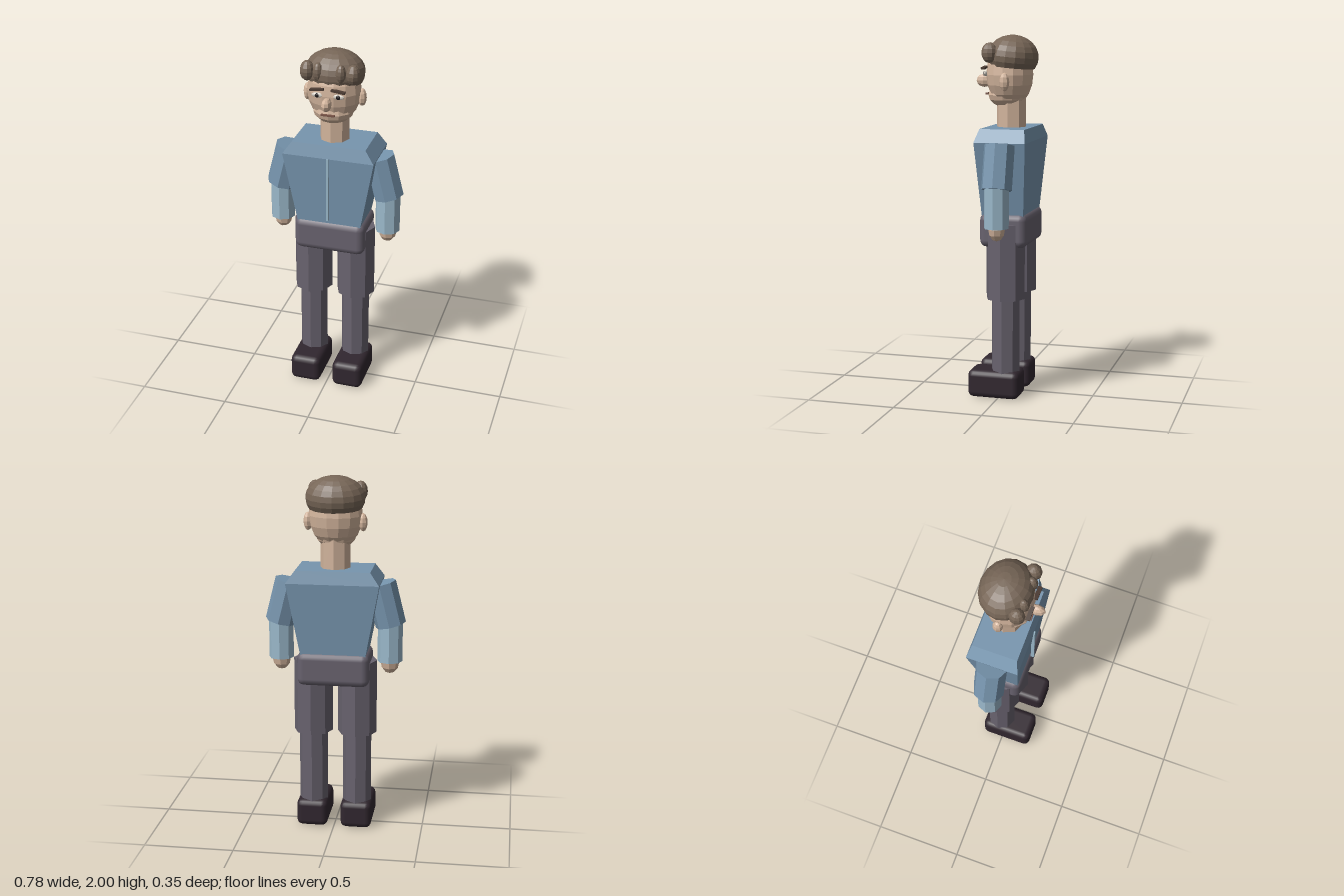
import * as THREE from 'three';
import { RoundedBoxGeometry } from 'three/addons/geometries/RoundedBoxGeometry.js';
import { ConvexGeometry } from 'three/addons/geometries/ConvexGeometry.js';

function material(name, color, flatShading = true) {
  const m = new THREE.MeshStandardMaterial({ color, flatShading });
  m.name = name;
  return m;
}

export function createModel() {
  const model = new THREE.Group();
  model.name = 'standingMan';

  const skin = material('skin', 0xd2b49c);
  const hair = material('hair', 0x776657);
  const shirt = material('shirt', 0x7795ae);
  const cuff = material('light shirt', 0x9ab8ca);
  const trousers = material('trousers', 0x68626e, false);
  const shoe = material('shoe', 0x31272f, false);
  const eyeWhite = material('eye white', 0xd8d2c8);
  const dark = material('pupil', 0x1e1a1c);
  const brow = material('brow', 0x4d3d34);
  const lip = material('lip', 0x7a5548);

  function add(name, geometry, mat, x, y, z) {
    const mesh = new THREE.Mesh(geometry, mat);
    mesh.name = name;
    mesh.position.set(x, y, z);
    model.add(mesh);
    return mesh;
  }
  // Faceted ellipsoid with separate radii
  function ellipsoid(name, mat, [x, y, z], [rx, ry, rz], w = 10, h = 8) {
    return add(name, new THREE.SphereGeometry(1, w, h).scale(rx, ry, rz), mat, x, y, z);
  }
  // Eight-sided limb standing between two heights
  function limb(name, mat, x, z, r, y0, y1) {
    const g = new THREE.CylinderGeometry(r, r, y1 - y0, 8).toNonIndexed();
    g.computeVertexNormals();
    return add(name, g, mat, x, (y0 + y1) / 2, z);
  }

  // Torso: rectangles [y, half width, back z, front z] joined into one hull
  const sections = [[1.0, 0.175, -0.14, 0.09], [1.43, 0.255, -0.17, 0.115], [1.5, 0.205, -0.153, 0.096]];
  const corners = sections.flatMap(([y, w, b, f]) =>
    [-w, w].flatMap((x) => [new THREE.Vector3(x, y, b), new THREE.Vector3(x, y, f)]));
  add('torso', new ConvexGeometry(corners), shirt, 0, 0, 0);
  add('shirtPlacket', new THREE.BoxGeometry(0.012, 0.37, 0.018), cuff, 0, 1.245, 0.113);
  add('hips', new RoundedBoxGeometry(0.4, 0.19, 0.265, 2, 0.04), trousers, 0, 0.945, -0.027);

  // Head
  limb('neck', skin, 0, -0.027, 0.082, 1.48, 1.68);
  ellipsoid('head', skin, [0, 1.785, -0.017], [0.148, 0.182, 0.128], 14, 10);
  ellipsoid('jaw', skin, [0, 1.675, -0.005], [0.112, 0.072, 0.108], 12, 8);
  ellipsoid('nose', skin, [0, 1.75, 0.128], [0.027, 0.036, 0.045], 8, 6);
  add('mouth', new THREE.BoxGeometry(0.075, 0.009, 0.012), lip, 0, 1.68, 0.104);

  // Hair cap, open below and tipped slightly back
  const capGeometry = new THREE.SphereGeometry(1, 16, 8, 0, Math.PI * 2, 0, Math.PI * 0.65)
    .scale(0.163, 0.12, 0.14);
  const capMaterial = hair;
  capMaterial.side = THREE.DoubleSide;
  add('hairCap', capGeometry, capMaterial, 0, 1.88, -0.035).rotation.x = -0.1;

  for (const s of [1, -1]) {
    const side = s > 0 ? 'left' : 'right';

    // Face details and curls
    ellipsoid(side + 'Ear', skin, [s * 0.15, 1.75, -0.028], [0.025, 0.05, 0.028], 8, 6);
    ellipsoid(side + 'Eye', eyeWhite, [s * 0.058, 1.79, 0.103], [0.032, 0.014, 0.01], 10, 6);
    ellipsoid(side + 'Pupil', dark, [s * 0.058, 1.79, 0.11], [0.012, 0.012, 0.008], 8, 6);
    add(side + 'Brow', new THREE.BoxGeometry(0.076, 0.011, 0.022), brow, s * 0.058, 1.823, 0.109)
      .rotation.z = -s * 0.12;
    ellipsoid(side + 'OuterCurl', hair, [s * 0.125, 1.905, 0.063], [0.039, 0.055, 0.043], 10, 8);
    ellipsoid(side + 'InnerCurl', hair, [s * 0.062, 1.908, 0.076], [0.028, 0.052, 0.031], 10, 8);

    // Arm: slanted sleeve, upright forearm, hand
    const sleeve = limb(side + 'UpperArm', shirt, s * 0.278, -0.029, 0.085, 1.183, 1.423);
    sleeve.rotation.z = s * 0.245;
    limb(side + 'Forearm', cuff, s * 0.304, -0.027, 0.069, 0.98, 1.2);
    ellipsoid(side + 'Hand', skin, [s * 0.304, 0.975, -0.028], [0.052, 0.066, 0.047], 8, 6);

    // Leg and shoe
    limb(side + 'Thigh', trousers, s * 0.124, -0.028, 0.109, 0.56, 0.98);
    limb(side + 'Shin', trousers, s * 0.124, -0.028, 0.08, 0.12, 0.58);
    add(side + 'Shoe', new RoundedBoxGeometry(0.176, 0.155, 0.293, 2, 0.034), shoe, s * 0.125, 0.0775, 0.026);
  }
  return model;
}
